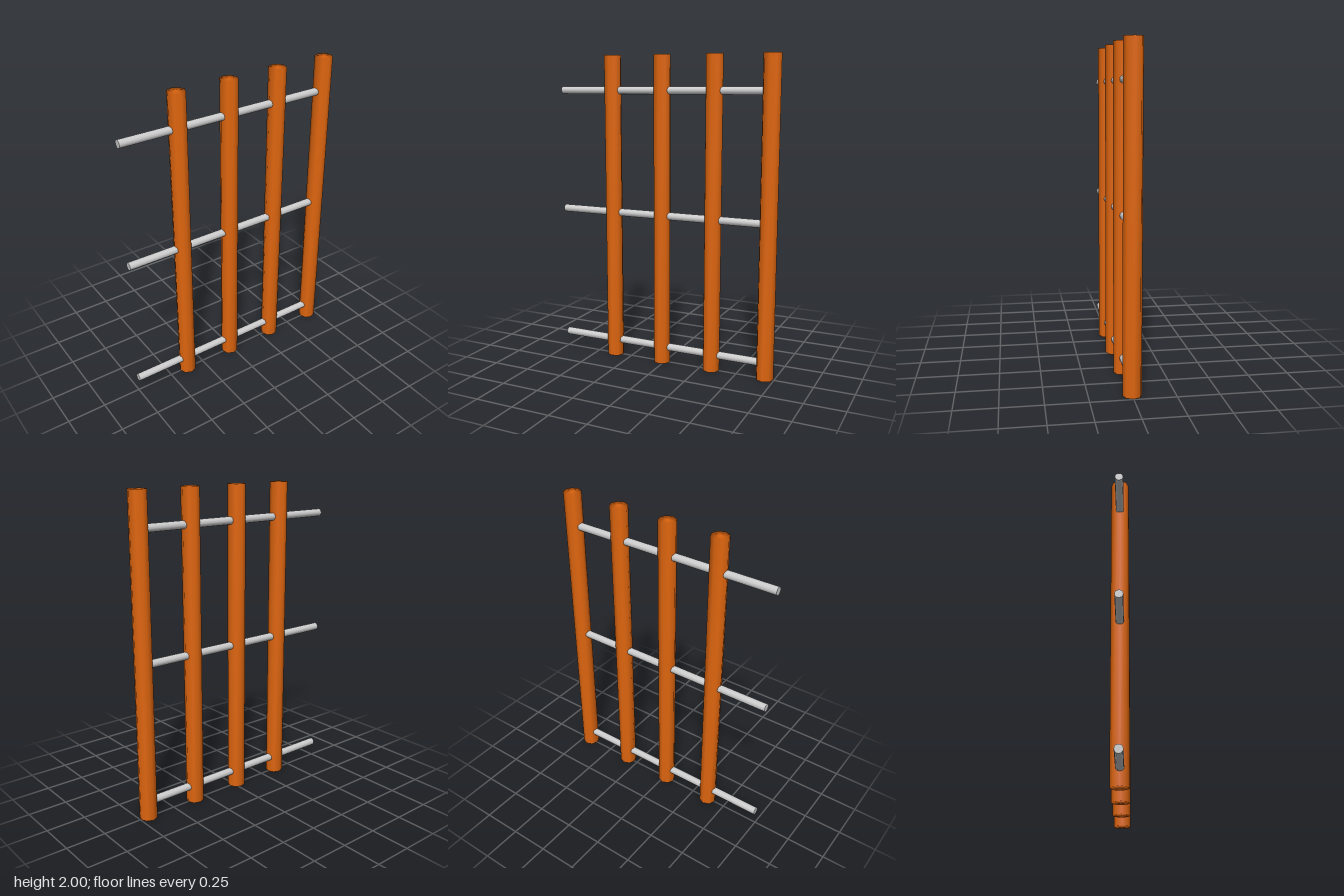
import * as THREE from 'three';
import { mergeVertices } from 'three/addons/utils/BufferGeometryUtils.js';

// Octagonal bar whose normals blend over the end caps
function softBar(radius, length) {
  const geometry = new THREE.CylinderGeometry(radius, radius, length, 8);
  geometry.deleteAttribute('normal');
  geometry.deleteAttribute('uv');
  const merged = mergeVertices(geometry, 1e-4);
  merged.computeVertexNormals();
  return merged;
}

export function createModel() {
  const group = new THREE.Group();
  const orange = new THREE.MeshStandardMaterial({ color: 0xe0660f });
  const grey = new THREE.MeshStandardMaterial({ color: 0xcccccc });

  // Upright posts
  const postGeometry = softBar(0.056, 2);
  [-0.37, -0.02, 0.33, 0.69].forEach((x, i) => {
    const post = new THREE.Mesh(postGeometry, orange);
    post.name = `post${i + 1}`;
    post.position.set(x, 1, 0);
    group.add(post);
  });

  // Horizontal rails, free at one end and set into the last post at the other
  const left = -0.746, right = 0.68;
  const railGeometry = new THREE.CylinderGeometry(0.025, 0.025, right - left, 12);
  railGeometry.rotateZ(Math.PI / 2);
  [0.105, 0.985, 1.78].forEach((y, i) => {
    const rail = new THREE.Mesh(railGeometry, grey);
    rail.name = `rail${i + 1}`;
    rail.position.set((left + right) / 2, y, 0);
    group.add(rail);
  });

  return group;
}
